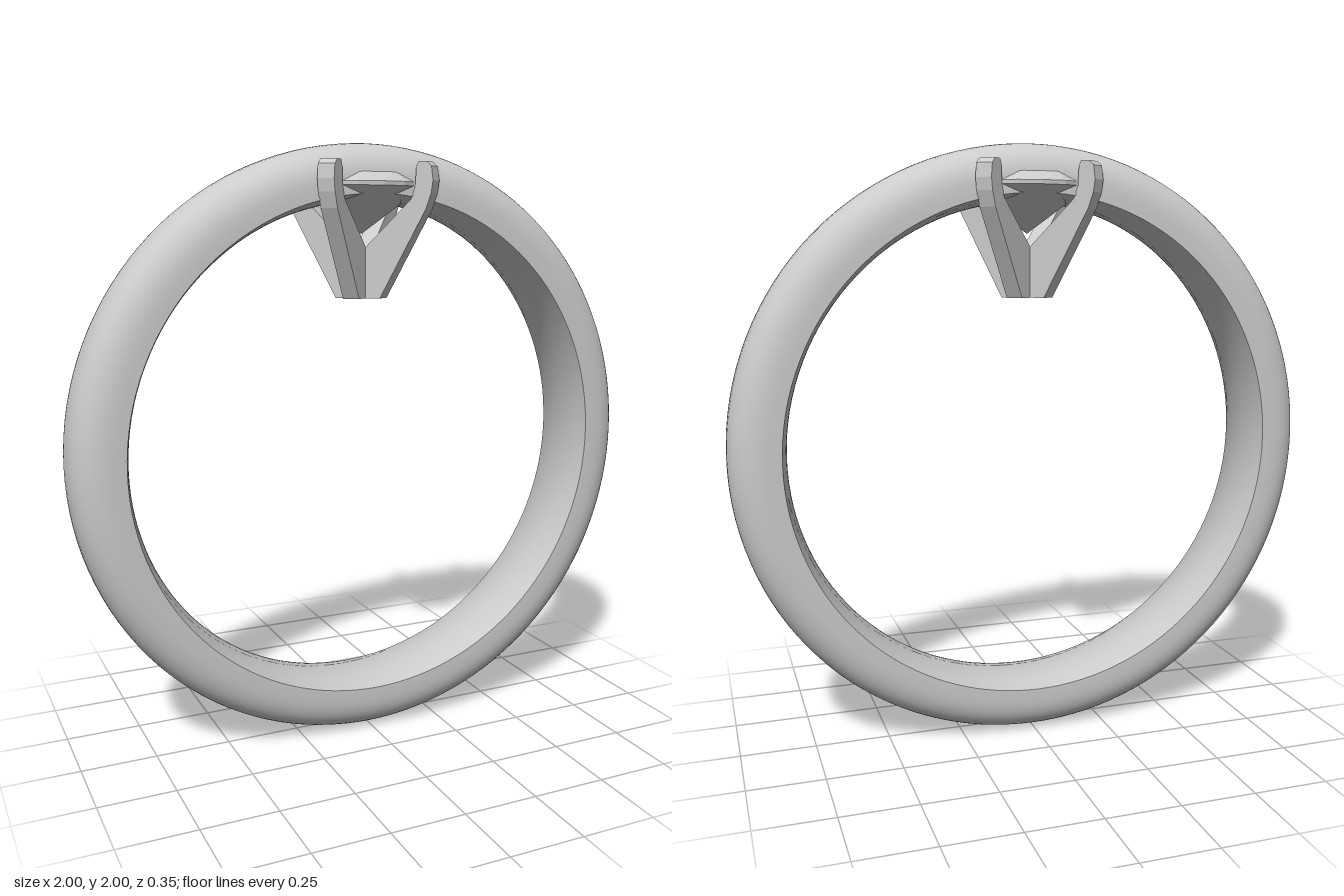
import * as THREE from 'three';
import { ConvexGeometry } from 'three/addons/geometries/ConvexGeometry.js';

const smooth = new THREE.MeshStandardMaterial({ color: 0xcccccc });
const faceted = new THREE.MeshStandardMaterial({ color: 0xcccccc, flatShading: true });

const HALF_WIDTH = 0.135;

function addMesh(parent, name, geometry, material) {
  const mesh = new THREE.Mesh(geometry, material);
  mesh.name = name;
  parent.add(mesh);
  return mesh;
}

// Band: rounded outside and gently domed inside, with a crisp edge between
function createBand() {
  const band = new THREE.Group();
  band.name = 'band';
  const outer = [new THREE.Vector2(0.838, -HALF_WIDTH)];
  const soften = (v) => Math.sign(v) * Math.abs(v) ** 0.8;
  for (let i = 0; i <= 24; i++) {
    const a = -Math.PI / 2 + (Math.PI * i) / 24;
    const c = Math.max(0, Math.cos(a));
    outer.push(new THREE.Vector2(0.86 + 0.14 * soften(c), HALF_WIDTH * soften(Math.sin(a))));
  }
  outer.push(new THREE.Vector2(0.838, HALF_WIDTH));
  const inner = [];
  for (let i = 0; i <= 10; i++) {
    const t = 1 - i / 5;
    inner.push(new THREE.Vector2(0.813 + 0.025 * t * t, HALF_WIDTH * t));
  }
  addMesh(band, 'bandOutside', new THREE.LatheGeometry(outer, 128), smooth);
  addMesh(band, 'bandInside', new THREE.LatheGeometry(inner, 128), smooth);
  band.rotation.x = Math.PI / 2;
  band.position.y = 1;
  return band;
}

// Gem: eight-sided table, sixteen-sided girdle, pointed base
function createGemGeometry() {
  const points = [new THREE.Vector3(0, 1.71, 0)];
  const ring = (count, radius, y, offset = 0) => {
    for (let i = 0; i < count; i++) {
      const a = ((i + offset) / count) * Math.PI * 2;
      points.push(new THREE.Vector3(Math.cos(a) * radius, y, Math.sin(a) * radius));
    }
  };
  ring(16, 0.21, 1.862);
  ring(16, 0.21, 1.875);
  ring(8, 0.165, 1.91, 0.5);
  ring(8, 0.12, 1.93);
  return new ConvexGeometry(points);
}

// Prong outline, measured outward from the centre of the setting
function createProngGeometry() {
  const outline = [
    [0, 1.5], [0.083, 1.5], [0.25, 1.79], [0.268, 1.84], [0.274, 1.88], [0.268, 1.925],
    [0.25, 1.94], [0.222, 1.94], [0.214, 1.925], [0.21, 1.86], [0.195, 1.82], [0, 1.64],
  ].map(([u, y]) => new THREE.Vector2(u, y));
  const geometry = new THREE.ExtrudeGeometry(new THREE.Shape(outline), {
    depth: 0.06, bevelEnabled: false,
  });
  return geometry.translate(0, 0, -0.03);
}

export function createModel() {
  const model = new THREE.Group();
  model.name = 'ring';
  model.add(createBand());

  // Oval setting: four crossing prongs around the gem
  const setting = new THREE.Group();
  setting.name = 'setting';
  setting.scale.z = 0.82;
  model.add(setting);
  addMesh(setting, 'gem', createGemGeometry(), faceted);
  const prongGeometry = createProngGeometry();
  for (let i = 0; i < 4; i++) {
    const prong = addMesh(setting, 'prong', prongGeometry, faceted);
    prong.rotation.y = Math.PI / 4 + (i * Math.PI) / 2;
  }
  return model;
}
